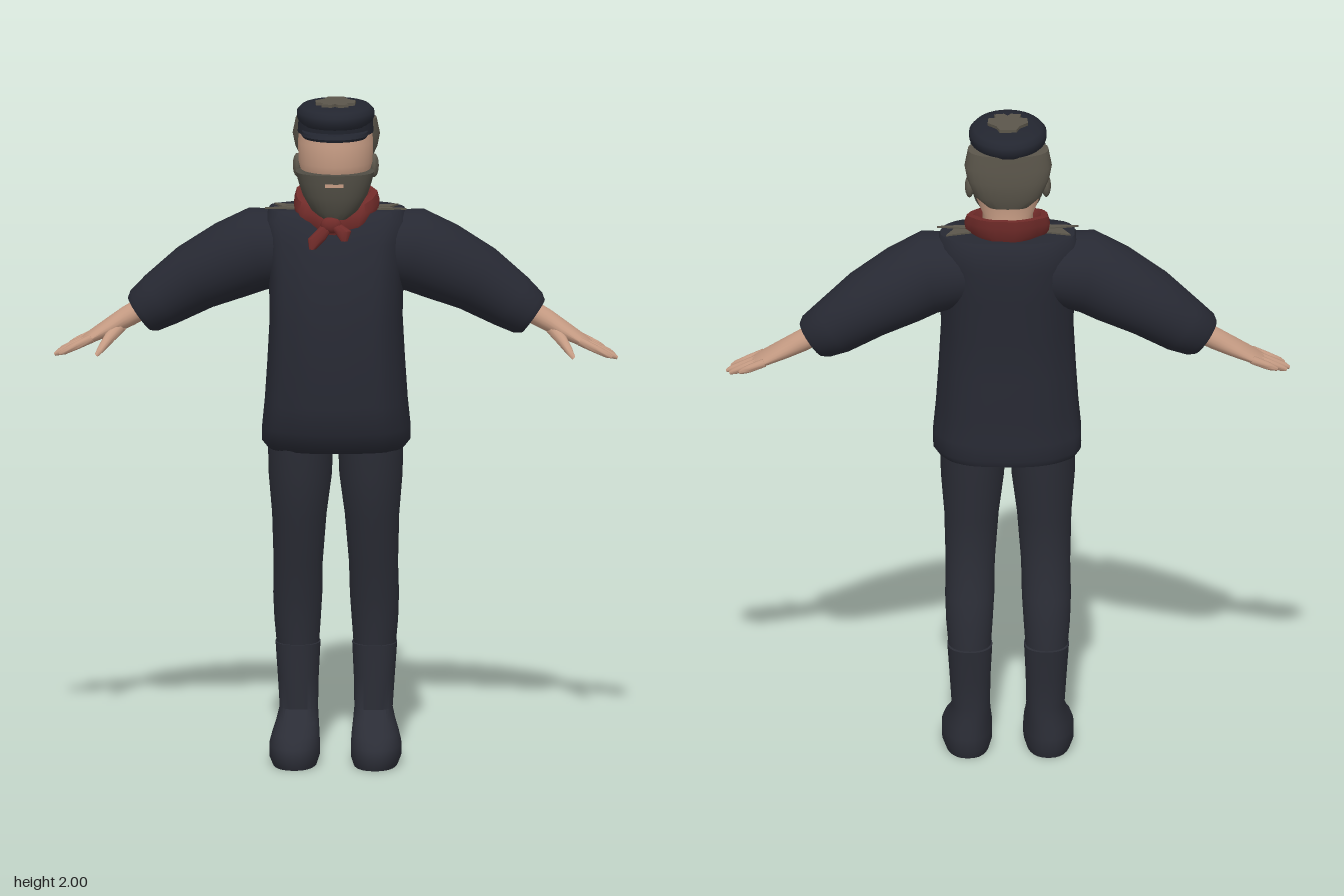
import * as THREE from 'three';
import { toCreasedNormals } from 'three/addons/utils/BufferGeometryUtils.js';

const mat = (name, color) => {
  const m = new THREE.MeshStandardMaterial({ color });
  m.name = name;
  return m;
};

// Closed skin over rings { c, u, v }, where u x v points along the path
function loft(rings, n = 28, power = 2, wave = 0) {
  const pos = [], idx = [];
  const bend = t => Math.sign(t) * Math.abs(t) ** (2 / power);
  rings.forEach(({ c, u, v }) => {
    for (let j = 0; j < n; j++) {
      const a = j / n * Math.PI * 2;
      const w = 1 + wave * (Math.sin(7 * a + 1) + 0.5 * Math.sin(12 * a));
      const p = c.clone().addScaledVector(u, w * bend(Math.cos(a))).addScaledVector(v, w * bend(Math.sin(a)));
      pos.push(p.x, p.y, p.z);
    }
  });
  const last = rings.length - 1;
  for (let i = 0; i < last; i++) for (let j = 0; j < n; j++) {
    const a = i * n + j, b = i * n + (j + 1) % n;
    idx.push(a, b, b + n, a, b + n, a + n);
  }
  const low = rings.length * n, high = low + 1;
  pos.push(...rings[0].c.toArray(), ...rings[last].c.toArray());
  for (let j = 0; j < n; j++) {
    const k = (j + 1) % n;
    idx.push(low, k, j, high, last * n + j, last * n + k);
  }
  const g = new THREE.BufferGeometry();
  g.setAttribute('position', new THREE.Float32BufferAttribute(pos, 3));
  g.setIndex(idx);
  return g;
}

// Upright part, rows: y, centre x, centre z, radius x, radius z; slope lifts the back
const stack = (rows, { n, power, wave, slope = 0 } = {}) => loft(rows.map(([y, x, z, rx, rz]) => ({
  c: new THREE.Vector3(x, y, z),
  u: new THREE.Vector3(rx, 0, 0),
  v: new THREE.Vector3(0, slope * rz, -rz),
})), n, power, wave);

// Part reaching sideways, rows: x, y, z, thickness, half depth, droop angle
const limb = (rows, n, power) => loft(rows.map(([x, y, z, ry, rz, a]) => ({
  c: new THREE.Vector3(x, y, z),
  u: new THREE.Vector3(0, 0, rz),
  v: new THREE.Vector3(-Math.sin(a), -Math.cos(a), 0).multiplyScalar(ry),
})), n, power);

function mirrored(geo) {
  const g = geo.index ? geo.toNonIndexed() : geo.clone();
  const p = g.attributes.position;
  for (let i = 0; i < p.count; i += 3) {
    const b = [p.getX(i + 1), p.getY(i + 1), p.getZ(i + 1)];
    p.setXYZ(i + 1, p.getX(i + 2), p.getY(i + 2), p.getZ(i + 2));
    p.setXYZ(i + 2, ...b);
  }
  return g.scale(-1, 1, 1);
}

// Flat outline lying in the x-z plane
const plate = (points, y, depth) => {
  const s = new THREE.Shape(points.map(([x, z]) => new THREE.Vector2(x, -z)));
  return new THREE.ExtrudeGeometry(s, { depth, bevelEnabled: false }).rotateX(-Math.PI / 2).translate(0, y, 0);
};

export function createModel() {
  const group = new THREE.Group();
  const jacketBlue = mat('jacket navy', 0x272933);
  const trouserBlue = mat('trouser navy', 0x2b2d36);
  const capBlue = mat('cap navy', 0x232630);
  const skin = mat('skin', 0xc59b83);
  const hairGrey = mat('hair grey', 0x5b564b);
  const beardGrey = mat('beard grey', 0x4f4c43);
  const scarfRed = mat('scarf red', 0x702b29);

  const add = (name, geo, material) => {
    const mesh = new THREE.Mesh(toCreasedNormals(geo, 0.85), material);
    mesh.name = name;
    group.add(mesh);
  };
  const pair = (name, geo, material) => {
    add(name + 'Left', geo, material);
    add(name + 'Right', mirrored(geo), material);
  };

  // Jacket
  add('jacketBody', stack([
    [0.955, 0, -0.015, 0.205, 0.148], [0.975, 0, -0.01, 0.22, 0.162], [1.02, 0, 0.006, 0.22, 0.172],
    [1.1, 0, 0.01, 0.212, 0.176], [1.22, 0, 0.01, 0.204, 0.172], [1.35, 0, 0.01, 0.197, 0.17],
    [1.48, 0, -0.01, 0.2, 0.165], [1.58, 0, -0.027, 0.208, 0.148], [1.64, 0, -0.04, 0.215, 0.13],
    [1.668, 0, -0.045, 0.2, 0.105],
  ], { n: 48, power: 2.5, wave: 0.01 }), jacketBlue);
  pair('sleeve', limb([
    [0.13, 1.55, -0.045, 0.11, 0.11, 0.05], [0.235, 1.54, -0.05, 0.125, 0.122, 0.2],
    [0.31, 1.505, -0.06, 0.118, 0.124, 0.45], [0.42, 1.448, -0.075, 0.103, 0.115, 0.55],
    [0.52, 1.379, -0.084, 0.086, 0.092, 0.62], [0.57, 1.346, -0.076, 0.073, 0.075, 0.62],
    [0.585, 1.336, -0.075, 0.06, 0.062, 0.62],
  ]), jacketBlue);

  // Shoulder patches
  pair('shoulderPatchFront', plate([[0.1, -0.005], [0.21, -0.015], [0.1, -0.04]], 1.667, 0.006), hairGrey);
  pair('shoulderPatchBack', plate([[0.1, -0.045], [0.16, -0.035], [0.185, -0.085], [0.1, -0.06]], 1.667, 0.006), hairGrey);

  // Hands
  pair('palm', limb([
    [0.55, 1.367, -0.078, 0.034, 0.038, 0.6], [0.62, 1.328, -0.076, 0.032, 0.037, 0.6],
    [0.67, 1.3, -0.068, 0.026, 0.045, 0.55], [0.73, 1.268, -0.06, 0.017, 0.05, 0.5],
    [0.755, 1.256, -0.058, 0.011, 0.046, 0.5],
  ], 20), skin);
  [[-0.098, 0.8], [-0.073, 0.828], [-0.047, 0.837], [-0.022, 0.822]].forEach(([z, tip], i) => {
    const drop = x => 1.268 - (x - 0.73) * 0.46;
    pair('finger' + (i + 1), limb([0.725, 0.77, tip - 0.015, tip].map((x, k) =>
      [x, drop(x), z + (x - 0.725) * 0.1, [0.013, 0.012, 0.01, 0.005][k], [0.013, 0.012, 0.01, 0.005][k], 0.43]), 10), skin);
  });
  pair('thumb', limb([
    [0.64, 1.305, -0.06, 0.02, 0.026, 0.8], [0.672, 1.275, -0.02, 0.017, 0.02, 0.8],
    [0.695, 1.25, 0.02, 0.012, 0.016, 0.8], [0.71, 1.234, 0.052, 0.006, 0.007, 0.8],
  ], 12), skin);

  // Legs and boots
  pair('trouserLeg', stack([
    [0.32, 0.114, -0.068, 0.061, 0.07], [0.42, 0.115, -0.06, 0.069, 0.073], [0.5, 0.114, -0.046, 0.073, 0.073],
    [0.6, 0.112, -0.022, 0.073, 0.073], [0.75, 0.108, -0.005, 0.081, 0.095],
    [0.87, 0.105, 0, 0.094, 0.114], [1.0, 0.104, 0, 0.098, 0.12],
  ]), trouserBlue);
  pair('boot', stack([
    [0, 0.12, 0.02, 0.066, 0.142], [0.025, 0.121, 0.021, 0.075, 0.152], [0.06, 0.121, 0.018, 0.075, 0.148],
    [0.09, 0.118, 0, 0.07, 0.125], [0.12, 0.114, -0.03, 0.063, 0.093], [0.155, 0.111, -0.055, 0.057, 0.065],
    [0.25, 0.113, -0.061, 0.061, 0.07], [0.35, 0.114, -0.068, 0.067, 0.078],
  ], { power: 2.3 }), trouserBlue);

  // Head
  add('headAndNeck', stack([
    [1.64, 0, -0.03, 0.075, 0.075], [1.72, 0, -0.025, 0.075, 0.07], [1.76, 0, 0.005, 0.095, 0.1],
    [1.82, 0, 0.008, 0.11, 0.113], [1.88, 0, 0.003, 0.112, 0.115], [1.94, 0, -0.002, 0.105, 0.11],
  ]), skin);
  add('hair', stack([
    [1.765, 0, -0.085, 0.06, 0.028], [1.8, 0, -0.083, 0.1, 0.044], [1.85, 0, -0.074, 0.122, 0.058],
    [1.89, 0, -0.066, 0.13, 0.066], [1.94, 0, -0.06, 0.12, 0.07],
  ], { power: 2.4 }), hairGrey);
  pair('sideburn', new THREE.SphereGeometry(1, 14, 10).scale(0.014, 0.036, 0.021).translate(0.114, 1.802, -0.016), hairGrey);
  add('beard', stack([
    [1.66, 0, 0.075, 0.04, 0.04], [1.685, 0, 0.068, 0.07, 0.06], [1.73, 0, 0.06, 0.097, 0.076],
    [1.77, 0, 0.057, 0.11, 0.081], [1.798, 0, 0.055, 0.117, 0.082],
  ], { power: 2.3 }), beardGrey);
  add('mouth', new THREE.BoxGeometry(0.055, 0.009, 0.008).translate(0, 1.768, 0.136), skin);

  // Cap
  add('capBand', stack([[1.908, 0, -0.002, 0.113, 0.122], [1.95, 0, 0, 0.11, 0.128]]), capBlue);
  add('capCrown', stack([
    [1.935, 0, 0, 0.105, 0.132], [1.953, 0, 0, 0.115, 0.146], [1.972, 0, 0, 0.115, 0.146],
    [1.985, 0, 0, 0.103, 0.132], [1.991, 0, 0, 0.075, 0.1],
  ], { n: 36 }), capBlue);
  add('capVisor', stack([[1.904, 0, 0.072, 0.094, 0.09], [1.912, 0, 0.072, 0.1, 0.094], [1.922, 0, 0.07, 0.098, 0.088]]), capBlue);
  add('capTopPatch', plate([
    [-0.025, -0.06], [0.025, -0.06], [0.035, -0.03], [0.06, -0.005], [0.058, 0.03], [0.035, 0.035], [0.04, 0.06],
    [0.01, 0.065], [0, 0.05], [-0.01, 0.065], [-0.04, 0.06], [-0.035, 0.035], [-0.058, 0.03], [-0.06, -0.005], [-0.035, -0.03],
  ], 1.991, 0.009), hairGrey);

  // Neckerchief with hanging ends
  add('scarf', stack([
    [1.635, 0, -0.012, 0.1, 0.115], [1.66, 0, -0.015, 0.122, 0.127], [1.69, 0, -0.02, 0.127, 0.127],
    [1.715, 0, -0.028, 0.12, 0.12], [1.718, 0, -0.03, 0.1, 0.1], [1.69, 0, -0.03, 0.076, 0.078],
  ], { n: 40, wave: 0.025, slope: 0.2 }), scarfRed);
  add('scarfKnot', new THREE.SphereGeometry(1, 12, 8).scale(0.032, 0.026, 0.02).translate(-0.01, 1.645, 0.112), scarfRed);
  [[-0.065, 1.575], [0.03, 1.6]].forEach(([x, y], i) => add('scarfEnd' + (i + 1), stack([
    [y, x, 0.13, 0.01, 0.008], [y + 0.03, x * 0.8, 0.125, 0.027, 0.013], [1.655, -0.01, 0.108, 0.018, 0.014],
  ], { n: 12 }), scarfRed));

  return group;
}
